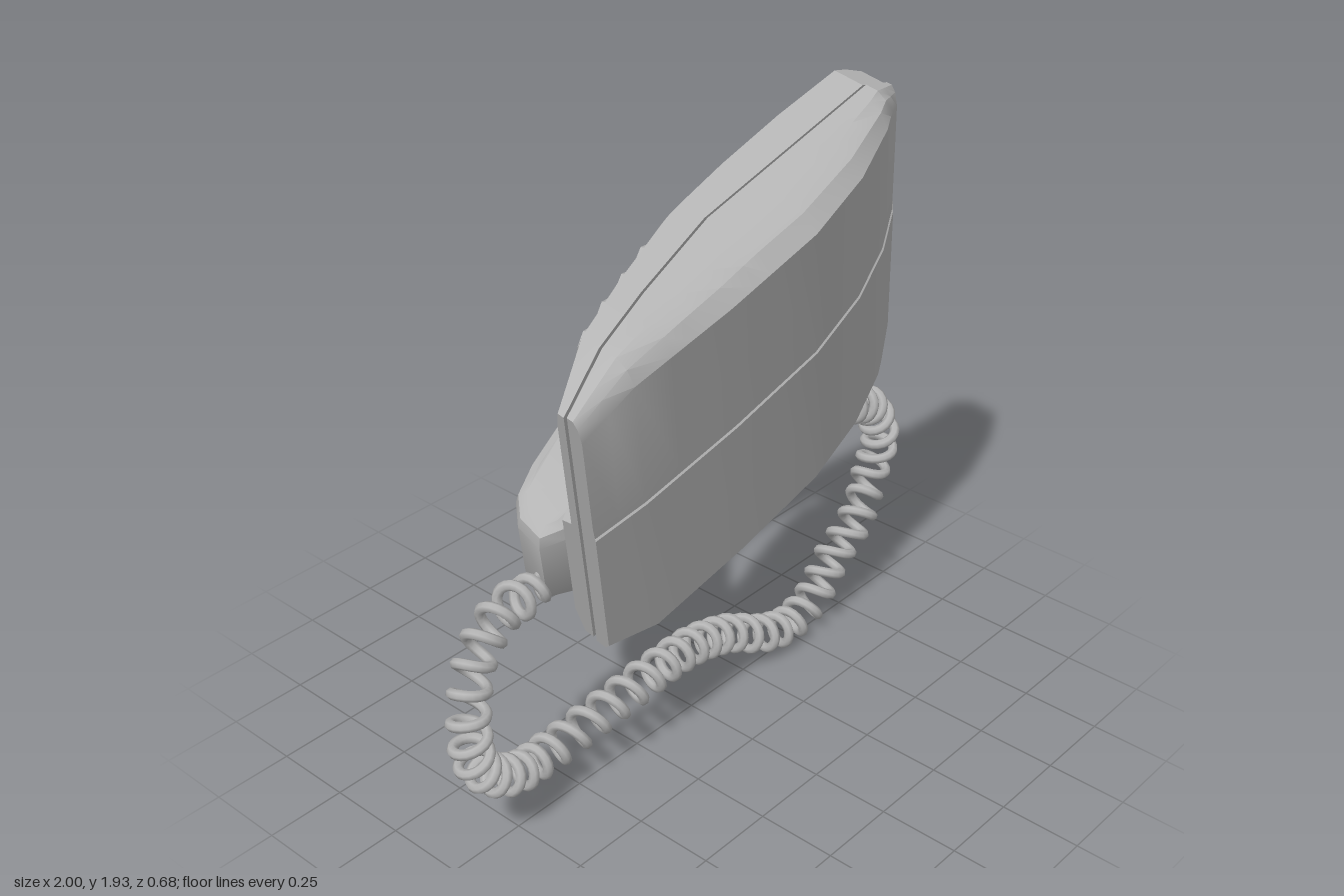
import * as THREE from 'three';
import { toCreasedNormals } from 'three/addons/utils/BufferGeometryUtils.js';

const plastic = new THREE.MeshStandardMaterial({ color: 0xb4b4b4 });
plastic.name = 'grey plastic';

// piecewise-linear lookup through [u, value] pairs
const along = (keys) => (u) => {
  let i = 0;
  while (i < keys.length - 2 && u > keys[i + 1][0]) i++;
  const [a, b] = [keys[i], keys[i + 1]];
  return a[1] + (b[1] - a[1]) * THREE.MathUtils.clamp((u - a[0]) / (b[0] - a[0]), 0, 1);
};

// body outlines along its length: half width, seam, base, key panel, cradle, finger recess
const halfWidth = along([[-0.74, 0.47], [-0.56, 0.54], [0.65, 0.54], [0.75, 0.485]]);
const seam = along([[-0.74, 0.205], [-0.35, 0.1], [-0.04, 0.035], [0.75, 0]]);
const base = along([[-0.74, 0.25], [-0.56, 0.264], [-0.2, 0.265], [0.15, 0.25], [0.4, 0.2], [0.6, 0.125], [0.75, 0.04]]);
const panel = along([[-0.74, 0.165], [-0.56, 0.065], [-0.35, -0.01], [-0.1, -0.085], [0.15, -0.12], [0.4, -0.14], [0.7, -0.145], [0.75, -0.12]]);
const cradle = along([[-0.74, 0.13], [-0.56, 0.04], [-0.35, -0.018], [-0.1, -0.089], [0.15, -0.124], [0.27, -0.135], [0.4, -0.165], [0.7, -0.182], [0.75, -0.15]]);
const recess = along([[-0.42, 0], [-0.3, 0.06], [0.2, 0.08], [0.3, 0]]);
const stations = [-0.74, -0.65, -0.56, -0.42, -0.35, -0.3, -0.2, -0.1, -0.04, 0.15, 0.2, 0.3, 0.4, 0.5, 0.6, 0.65, 0.7, 0.75];

function mesh(name, geometry) {
  const m = new THREE.Mesh(geometry, plastic);
  m.name = name;
  return m;
}

// joins one [v, w] loop per station into a closed solid
function loft(section) {
  const rings = stations.map((u) => section(u).map(([v, w]) => [u, v, w]));
  const n = rings[0].length;
  const pos = [];
  const tri = (...pts) => pts.forEach((p) => pos.push(...p));
  for (let j = 0; j < rings.length - 1; j++) {
    for (let i = 0; i < n; i++) {
      const k = (i + 1) % n;
      const [a, b, c, d] = [rings[j][i], rings[j][k], rings[j + 1][k], rings[j + 1][i]];
      tri(a, b, c);
      tri(a, c, d);
    }
  }
  const last = rings[rings.length - 1];
  for (let i = 1; i < n - 1; i++) {
    tri(rings[0][0], rings[0][i + 1], rings[0][i]);
    tri(last[0], last[i], last[i + 1]);
  }
  const g = new THREE.BufferGeometry();
  g.setAttribute('position', new THREE.Float32BufferAttribute(pos, 3));
  return toCreasedNormals(g, 0.45);
}

// sits a part on a sloping surface
function seat(m, surface, u, v, lift) {
  const slope = (surface(u + 0.03) - surface(u - 0.03)) / 0.06;
  m.position.set(u, v, surface(u) - lift);
  m.rotation.y = -Math.atan(slope);
  return m;
}

function frame(name, w, h) {
  const s = new THREE.Shape();
  const rect = (p, a, b) => p.moveTo(-a, -b).lineTo(a, -b).lineTo(a, b).lineTo(-a, b).closePath();
  rect(s, w / 2, h / 2);
  const hole = new THREE.Path();
  rect(hole, w / 2 - 0.01, h / 2 - 0.01);
  s.holes.push(hole);
  return mesh(name, new THREE.ExtrudeGeometry(s, { depth: 0.008, bevelEnabled: false }));
}

function makeHandset() {
  const profile = [
    [-0.77, 0.05], [-0.755, -0.05], [-0.7, -0.115], [-0.6, -0.16], [-0.44, -0.213], [-0.18, -0.27],
    [0.03, -0.288], [0.2, -0.283], [0.4, -0.262], [0.6, -0.232], [0.68, -0.21], [0.71, -0.17], [0.69, -0.1],
    [0.36, -0.1], [0.3, -0.13], [0.23, -0.178], [0.05, -0.19], [-0.15, -0.178], [-0.27, -0.14],
    [-0.35, -0.05], [-0.4, 0.02], [-0.5, 0.07], [-0.7, 0.085],
  ];
  const g = new THREE.ExtrudeGeometry(new THREE.Shape(profile.map(([u, w]) => new THREE.Vector2(u, w))), {
    depth: 0.22, bevelThickness: 0.05, bevelSize: 0.035, bevelOffset: -0.035, bevelSegments: 2,
  });
  g.translate(0, 0, -0.11).rotateX(Math.PI / 2);
  // the grip is narrower than the two cups
  const p = g.attributes.position;
  const width = along([[-0.77, 0.9], [-0.65, 1], [-0.45, 1], [-0.25, 0.75], [0.15, 0.72], [0.35, 0.98], [0.71, 1]]);
  for (let i = 0; i < p.count; i++) p.setY(i, p.getY(i) * width(p.getX(i)) - 0.255);
  return mesh('handset', toCreasedNormals(g, 0.6));
}

function makeBody() {
  const body = new THREE.Group();
  body.name = 'telephone';

  body.add(mesh('baseShell', loft((u) => {
    const [h, s, f] = [halfWidth(u), seam(u), base(u)];
    const d = f - s;
    return [[h, s], [h, s + d * 0.45], [h - 0.02, s + d * 0.78], [h - 0.065, f], [0.025, f], [0.02, f + 0.005],
      [-h + 0.02, f + 0.005], [-h, s + d * 0.8], [-h, s]];
  })));
  body.add(mesh('topShell', loft((u) => {
    const [h, s, t, c] = [halfWidth(u) - 0.008, seam(u) - 0.012, panel(u), cradle(u)];
    const low = c + recess(u);
    return [[-h, s], [-h, s + (low - s) * 0.5], [-h + 0.08, low], [-0.12, c], [0.01, c], [0.022, t], [h - 0.05, t],
      [h, s + (t - s) * 0.75], [h, s]];
  })));
  const core = mesh('seamCore', loft((u) => {
    const [h, s] = [halfWidth(u) - 0.03, seam(u)];
    return [[h, s + 0.015], [-h, s + 0.015], [-h, s - 0.025], [h, s - 0.025]];
  }));
  core.scale.x = 0.975;
  body.add(core);

  // keypad of hexagonal buttons
  const button = new THREE.CylinderGeometry(0.043, 0.049, 0.05, 6).rotateX(-Math.PI / 2);
  const keypad = new THREE.Group();
  keypad.name = 'keypad';
  for (let i = 0; i < 4; i++) {
    for (let j = 0; j < 3; j++) {
      keypad.add(seat(mesh('button', toCreasedNormals(button, 0.3)), panel, -0.15 - i * 0.107, 0.39 - j * 0.102, 0.012));
    }
  }
  body.add(keypad);

  // label windows
  body.add(seat(frame('labelWindow', 0.07, 0.38), panel, 0.585, 0.265, 0.005));
  body.add(seat(frame('smallWindow', 0.05, 0.17), panel, -0.58, 0.31, 0.005));

  // ribbed grille on the slope between the handset cups
  const grille = new THREE.Group();
  grille.name = 'grille';
  for (let i = 0; i < 11; i++) {
    const u = -0.18 + i * 0.037;
    const length = 0.27 - 0.09 * Math.abs((i - 5) / 5) ** 3;
    const rib = seat(mesh('rib', new THREE.BoxGeometry(0.022, length, 0.03)), cradle, u, -0.25, -0.025);
    rib.rotation.x = -0.21;
    grille.add(rib);
  }
  body.add(grille);
  body.add(makeHandset());

  body.rotation.set(0.19, 0, 0.27);
  body.position.set(0.1, 1.242, 0);
  return body;
}

// coil wound around a drooping path
class Coil extends THREE.Curve {
  constructor(path, turns, radius) {
    super();
    Object.assign(this, { path, turns, radius });
  }
  getPoint(t, target = new THREE.Vector3()) {
    const c = this.path.getPointAt(t);
    const d = this.path.getTangentAt(t);
    const n = new THREE.Vector3(-d.y, d.x, 0).normalize();
    const r = this.radius * Math.min(1, t * 30, (1 - t) * 16);
    const a = t * this.turns * Math.PI * 2;
    return target.copy(c).addScaledVector(n, r * Math.cos(a)).add(new THREE.Vector3(0, 0, r * Math.sin(a)));
  }
}

function makeCord() {
  const path = new THREE.CatmullRomCurve3([
    [-0.5, 0.75, -0.07], [-0.6, 0.73, -0.05], [-0.72, 0.74, -0.04], [-0.85, 0.66, -0.02], [-0.935, 0.5, 0.03],
    [-0.9, 0.33, 0.02], [-0.76, 0.21, 0], [-0.6, 0.17, -0.03], [-0.4, 0.22, 0], [-0.2, 0.26, 0.02],
    [0, 0.24, 0], [0.2, 0.17, -0.02], [0.35, 0.1, 0], [0.48, 0.07, 0], [0.6, 0.11, 0], [0.7, 0.22, 0],
    [0.8, 0.34, 0.02], [0.92, 0.45, -0.02], [0.935, 0.58, 0], [0.88, 0.71, 0], [0.77, 0.78, 0.02],
    [0.63, 0.81, 0.03], [0.5, 0.77, 0], [0.4, 0.76, -0.03], [0.36, 0.82, -0.05],
  ].map((p) => new THREE.Vector3(...p)));
  path.arcLengthDivisions = 600;
  return mesh('coiledCord', new THREE.TubeGeometry(new Coil(path, 50, 0.05), 900, 0.016, 7));
}

export function createModel() {
  const model = new THREE.Group();
  model.name = 'deskPhone';
  model.add(makeBody(), makeCord());
  return model;
}
